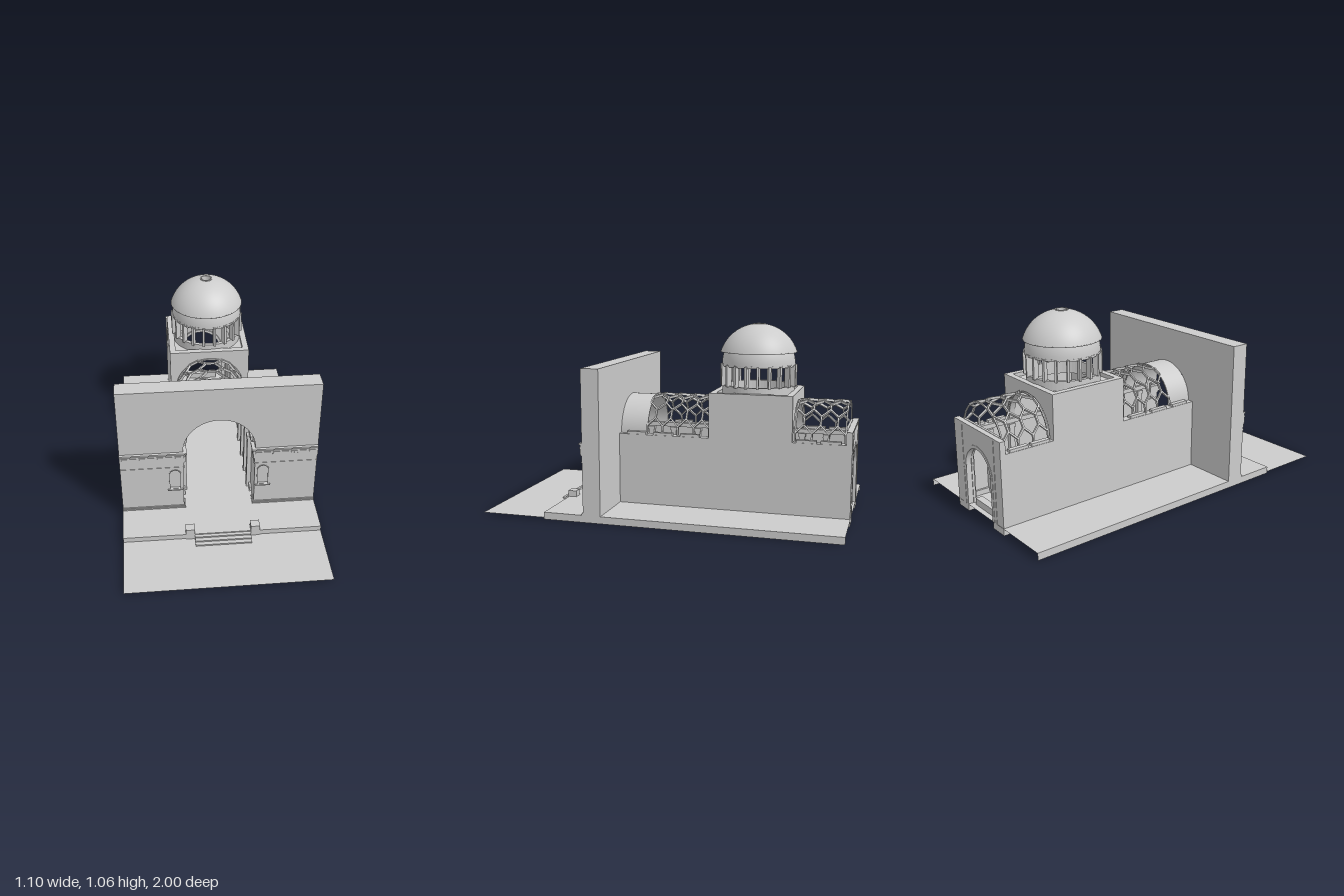
import * as THREE from 'three';
import { mergeGeometries } from 'three/addons/utils/BufferGeometryUtils.js';

export function createModel() {
  const model = new THREE.Group();
  const stone = new THREE.MeshStandardMaterial({ color: 0xcccccc, side: THREE.DoubleSide });
  stone.name = 'stone grey';

  const add = (name, geo) => {
    const m = new THREE.Mesh(geo, stone);
    m.name = name;
    model.add(m);
    return m;
  };
  const boxGeo = (x0, x1, y0, y1, z0, z1) =>
    new THREE.BoxGeometry(x1 - x0, y1 - y0, z1 - z0).translate((x0 + x1) / 2, (y0 + y1) / 2, (z0 + z1) / 2);
  const box = (name, ...b) => add(name, boxGeo(...b));
  // the same block on the left and right sides
  const pair = (name, x0, x1, ...r) =>
    add(name, mergeGeometries([boxGeo(x0, x1, ...r), boxGeo(-x1, -x0, ...r)]));

  // wall outline with an arched doorway cut up from its foot
  const archWall = (w, y0, y1, r, spring) => {
    const s = new THREE.Shape();
    s.moveTo(-w, y0);
    s.lineTo(-r, y0);
    s.lineTo(-r, spring);
    s.absarc(0, spring, r, Math.PI, 0, true);
    s.lineTo(r, y0);
    s.lineTo(w, y0);
    s.lineTo(w, y1);
    s.lineTo(-w, y1);
    s.closePath();
    return s;
  };
  // closed arched outline, used for niches
  const archPath = (P, cx, r, y0, spring) => {
    const p = new P();
    p.moveTo(cx - r, y0);
    p.lineTo(cx + r, y0);
    p.lineTo(cx + r, spring);
    p.absarc(cx, spring, r, 0, Math.PI, false);
    p.closePath();
    return p;
  };
  const halfRing = (r0, r1, cx, cy) => {
    const s = new THREE.Shape();
    s.moveTo(cx + r1, cy);
    s.absarc(cx, cy, r1, 0, Math.PI, false);
    s.lineTo(cx - r0, cy);
    s.absarc(cx, cy, r0, Math.PI, 0, true);
    s.closePath();
    return s;
  };
  const extrude = (shape, z0, z1) =>
    new THREE.ExtrudeGeometry(shape, { depth: z1 - z0, bevelEnabled: false, curveSegments: 36 }).translate(0, 0, z0);

  // Ground sheet and platform: top, two side skirts and front riser
  add('forecourt', new THREE.PlaneGeometry(1.1, 0.37).rotateX(-Math.PI / 2).translate(0, 0.01, 0.815));
  add('platform', mergeGeometries([
    new THREE.PlaneGeometry(1.1, 1.63).rotateX(-Math.PI / 2).translate(0, 0.04, -0.185),
    new THREE.PlaneGeometry(1.1, 0.04).translate(0, 0.02, 0.63),
    new THREE.PlaneGeometry(1.63, 0.04).rotateY(Math.PI / 2).translate(0.55, 0.02, -0.185),
    new THREE.PlaneGeometry(1.63, 0.04).rotateY(-Math.PI / 2).translate(-0.55, 0.02, -0.185),
  ]));
  for (let i = 0; i < 3; i++) box('frontStep', -0.155, 0.155, 0, 0.018 + i * 0.008, 0.6, 0.695 - i * 0.023);
  pair('stepPedestal', 0.155, 0.205, 0.01, 0.075, 0.585, 0.635);

  // Tall front wall with arched portal and two shallow niches
  const front = archWall(0.55, 0.04, 0.84, 0.2, 0.44);
  add('facadeCore', extrude(front, 0.3, 0.385));
  const face = archWall(0.55, 0.04, 0.84, 0.2, 0.44);
  for (const s of [-1, 1]) face.holes.push(archPath(THREE.Path, s * 0.247, 0.031, 0.177, 0.282));
  add('facadeFace', extrude(face, 0.385, 0.4));
  for (const s of [-1, 1]) {
    const frame = archPath(THREE.Shape, s * 0.247, 0.034, 0.177, 0.282);
    frame.holes.push(archPath(THREE.Path, s * 0.247, 0.029, 0.18, 0.282));
    add('nicheFrame', extrude(frame, 0.396, 0.403));
  }
  pair('nicheSill', 0.205, 0.29, 0.172, 0.178, 0.39, 0.41);
  pair('sillBracket', 0.209, 0.214, 0.12, 0.172, 0.39, 0.405);

  // Cornice bands that return into the portal, and base moulding
  for (const [y0, y1, p] of [[0.33, 0.336, 0.006], [0.336, 0.368, 0.003], [0.368, 0.376, 0.008],
    [0.376, 0.408, 0.012], [0.408, 0.416, 0.016], [0.416, 0.428, 0.012], [0.428, 0.438, 0.02]])
    pair('corniceBand', 0.2 - p, 0.55, y0, y1, 0.34, 0.4 + p * 0.8);
  for (const [y0, y1, p] of [[0.04, 0.048, 0.009], [0.048, 0.054, 0.005]])
    pair('baseMoulding', 0.2 - p, 0.55, y0, y1, 0.34, 0.4 + p);
  const dentils = [];
  for (let i = 0; i < 18; i++)
    for (const s of [-1, 1]) dentils.push(boxGeo(-0.004, 0.004, 0.398, 0.407, 0.4, 0.412).translate(s * (0.2 + i * 0.02), 0, 0));
  add('dentils', mergeGeometries(dentils));

  // Nave side walls with inner pilasters and cornice
  pair('naveWall', 0.2, 0.235, 0.04, 0.44, -0.97, 0.3);
  pair('innerCornice', 0.185, 0.2, 0.415, 0.44, -0.97, 0.3);
  pair('innerPlinth', 0.188, 0.2, 0.04, 0.07, -0.97, 0.3);
  for (const z of [0.24, 0.1, -0.05, -0.2, -0.68, -0.82, -0.94]) {
    pair('innerPilaster', 0.175, 0.2, 0.04, 0.415, z - 0.015, z + 0.015);
    pair('pilasterCapital', 0.17, 0.2, 0.395, 0.415, z - 0.02, z + 0.02);
  }
  for (const z of [0.2, 0.045, -0.11, -0.755, -0.885])
    pair('wallLedge', 0.205, 0.232, 0.44, 0.455, z - 0.055, z + 0.055);

  // Plain barrel vault behind the front wall
  add('plainVault', new THREE.CylinderGeometry(0.2, 0.2, 0.15, 48, 1, true, Math.PI / 2, Math.PI)
    .rotateX(Math.PI / 2).translate(0, 0.44, 0.225));

  // Honeycomb vault: zigzag bars along the length, joined by short bars
  const R = 0.203, pitch = 0.09;
  const onVault = (deg, z) => {
    const a = THREE.MathUtils.degToRad(deg);
    return new THREE.Vector3(R * Math.sin(a), 0.44 + R * Math.cos(a), z);
  };
  const bar = (deg0, za, deg1, zb) => {
    const a = onVault(deg0, za), b = onVault(deg1, zb);
    const dir = b.clone().sub(a), mid = a.clone().add(b).multiplyScalar(0.5);
    const out = new THREE.Vector3(mid.x, mid.y - 0.44, 0).normalize();
    const zAxis = dir.clone().normalize();
    const xAxis = new THREE.Vector3().crossVectors(out, zAxis).normalize();
    const yAxis = new THREE.Vector3().crossVectors(zAxis, xAxis);
    const m = new THREE.Matrix4().makeBasis(xAxis, yAxis, zAxis).setPosition(mid);
    return new THREE.BoxGeometry(0.009, 0.014, dir.length() + 0.005).applyMatrix4(m);
  };
  const latticeVault = (zFront, periods) => {
    const bars = [], rows = [-70, -42, -14, 14, 42, 70], amp = 6.5;
    rows.forEach((row, k) => {
      const flip = k % 2 ? 1 : -1;
      for (let i = 0; i < periods * 2; i++) {
        const s = (i % 2 ? -1 : 1) * flip;
        const z0 = zFront - i * pitch / 2, z1 = z0 - pitch / 2;
        bars.push(bar(row + s * amp, z0, row - s * amp, z1));
      }
      for (let i = 0; i <= periods * 2; i++) {
        const s = (i % 2 ? -1 : 1) * flip, z = zFront - i * pitch / 2;
        if (s > 0) bars.push(bar(row + amp, z, k < 5 ? row + 28 - amp : 90, z));
        else if (k === 0) bars.push(bar(-90, z, row - amp, z));
      }
    });
    add('honeycombVault', mergeGeometries(bars));
    for (const z of [zFront, zFront - periods * pitch])
      add('vaultRib', extrude(halfRing(0.197, 0.205, 0, 0.44), z - 0.004, z + 0.004));
  };
  latticeVault(0.146, 4);
  latticeVault(-0.69, 3);

  // Square tower under the dome
  pair('towerSide', 0.2, 0.235, 0.44, 0.69, -0.68, -0.22);
  for (const z of [-0.255, -0.68])
    add('towerArchWall', extrude(archWall(0.235, 0.43, 0.69, 0.2, 0.44), z, z + 0.035));
  const roof = new THREE.Shape([[-0.2, -0.2], [0.2, -0.2], [0.2, 0.2], [-0.2, 0.2]].map(p => new THREE.Vector2(...p)));
  roof.holes.push(new THREE.Path().absarc(0, 0, 0.18, 0, Math.PI * 2, true));
  add('towerRoof', new THREE.ExtrudeGeometry(roof, { depth: 0.02, bevelEnabled: false, curveSegments: 32 })
    .rotateX(-Math.PI / 2).scale(1, 1, 1.05).translate(0, 0.648, -0.45));

  // Drum: base ring, upright fins, top ring
  const lathe = (name, pts) => add(name, new THREE.LatheGeometry(pts.map(p => new THREE.Vector2(...p)), 64)
    .translate(0, 0, -0.45));
  const ring = (name, r0, r1, y0, y1) => {
    const g = new THREE.LatheGeometry([[r0, y0], [r1, y0], [r1, y1], [r0, y1], [r0, y0]]
      .map(p => new THREE.Vector2(...p)), 64).toNonIndexed();
    g.computeVertexNormals();
    add(name, g.translate(0, 0, -0.45));
  };
  ring('drumBase', 0.18, 0.202, 0.66, 0.72);
  ring('drumTop', 0.185, 0.206, 0.826, 0.838);
  const fins = [];
  for (let i = 0; i < 20; i++)
    fins.push(boxGeo(0.183, 0.215, 0.715, 0.835, -0.0065, 0.0065).rotateY((i + 0.5) * Math.PI / 10).translate(0, 0, -0.45));
  add('drumFins', mergeGeometries(fins));

  // Dome: lower shell, overhanging cap, open eye at the crown
  const arc = (rad, cy, rFrom, rTo, up) => Array.from({ length: 21 }, (_, i) => {
    const a0 = Math.acos(rFrom / rad), a1 = Math.acos(rTo / rad), a = a0 + (a1 - a0) * i / 20;
    return [rad * Math.cos(a), cy + rad * Math.sin(a) * up];
  });
  lathe('lowerDome', arc(0.205, 0.836, 0.205, 0.035, 1));
  lathe('domeCap', arc(0.224, 0.836, 0.213, 0.035, 1));
  ring('capUnderside', 0.19, 0.213, 0.903, 0.907);
  ring('domeEye', 0.028, 0.036, 1.035, 1.061);

  // Rear wall with arched doorway, jambs, arch trim and cornice
  add('rearWall', extrude(archWall(0.235, 0.0, 0.51, 0.13, 0.27), -0.998, -0.966));
  for (const [z0, z1] of [[-1, -0.997], [-0.968, -0.955]]) {
    add('rearArchTrim', extrude(halfRing(0.128, 0.146, 0, 0.27), z0, z1));
    pair('rearJamb', 0.126, 0.146, 0.04, 0.262, z0, z1);
    pair('rearImpost', 0.122, 0.152, 0.258, 0.272, z0, z1);
    pair('rearPilaster', 0.15, 0.172, 0.04, 0.5, z0, z1);
    box('rearCornice', -0.19, 0.19, 0.5, 0.512, z0, z1);
  }
  for (const x of [0.045, 0.1]) pair('rearFriezeBlock', x, x + 0.005, 0.475, 0.5, -0.968, -0.955);
  box('doorBench', -0.1, 0.1, 0.04, 0.078, -0.97, -0.93);

  return model;
}
